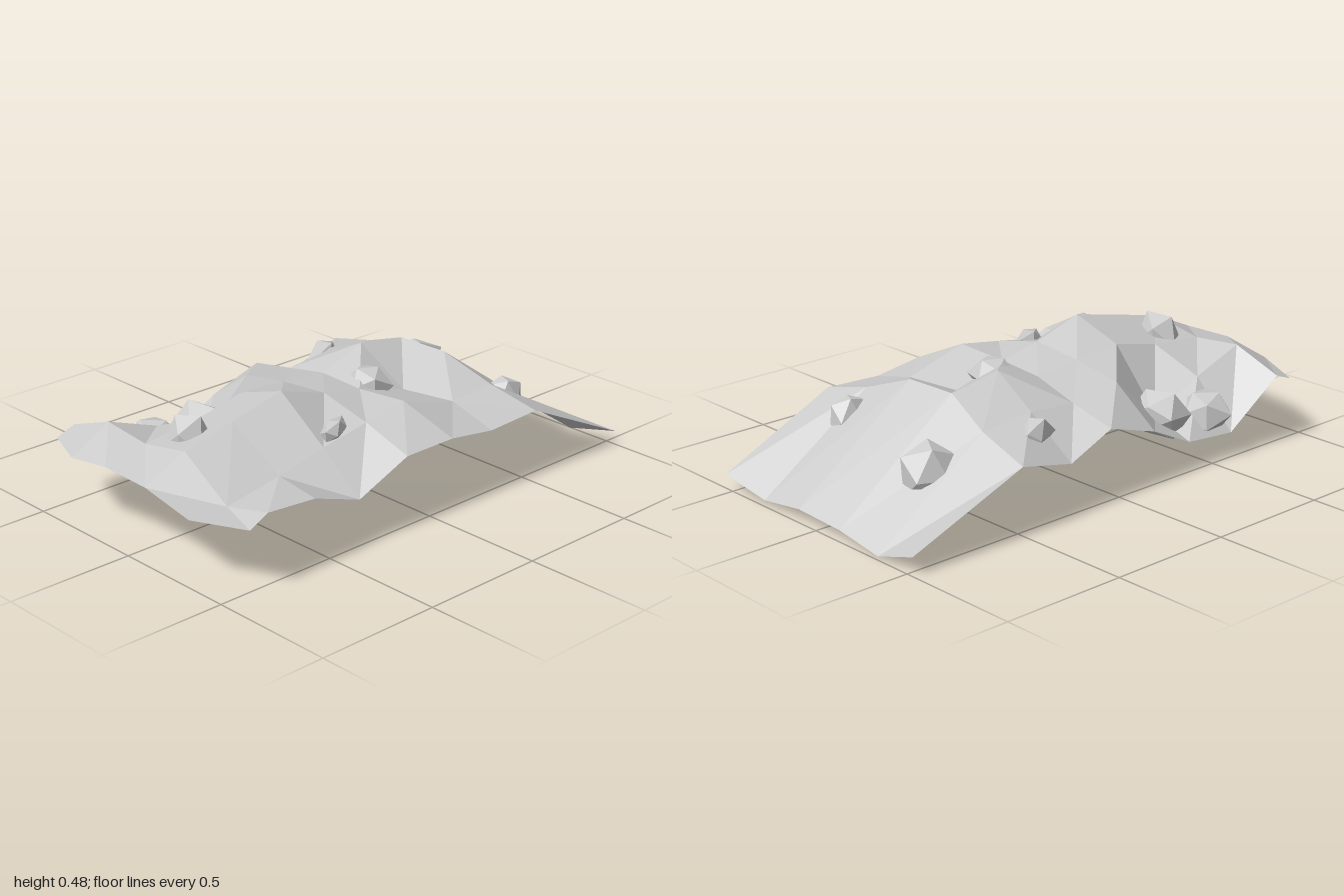
import * as THREE from 'three';

const material = new THREE.MeshStandardMaterial({ color: 0xcccccc, flatShading: true, side: THREE.DoubleSide });

// Rows from the front edge to the back edge: z, height at each column, x of the two side edges,
// and the cells (towards the front) whose crease runs from front left to back right.
const columns = [-0.32, -0.11, 0.11, 0.33];
const rows = [
  { z: [0.9, 0.99, 1, 1, 0.99, 0.9], y: [0.255, 0.27, 0.305, 0.3, 0.25, 0.255], sides: [-0.53, 0.54], flip: [] },
  { z: 0.82, y: [0.285, 0.36, 0.34, 0.38, 0.245, 0.295], sides: [-0.53, 0.54], flip: [4] },
  { z: [0.6, 0.6, 0.58, 0.6, 0.58, 0.6], y: [0.1, 0.28, 0.365, 0.43, 0.285, 0.275], sides: [-0.5, 0.535], flip: [] },
  { z: 0.37, y: [0.12, 0.18, 0.41, 0.48, 0.33, 0.19], sides: [-0.5, 0.515], flip: [5] },
  { z: 0.16, y: [0.22, 0.36, 0.395, 0.415, 0.365, 0.3], sides: [-0.52, 0.54], flip: [] },
  { z: [-0.07, -0.06, -0.04, -0.02, -0.03, -0.07], y: [0.29, 0.33, 0.375, 0.38, 0.395, 0.3], sides: [-0.525, 0.54], flip: [] },
  { z: [-0.27, -0.27, -0.24, -0.25, -0.29, -0.28], y: [0.21, 0.35, 0.445, 0.315, 0.32, 0.27], sides: [-0.53, 0.54], flip: [2] },
  { z: [-0.52, -0.5, -0.46, -0.47, -0.5, -0.52], y: [0.27, 0.33, 0.41, 0.41, 0.33, 0.28], sides: [-0.55, 0.54], flip: [5] },
  { z: [-1, -0.98, -0.98, -0.99, -0.98, -1], y: [0.07, 0, 0.03, 0.045, 0.01, 0.055], sides: [-0.53, 0.54], flip: [1, 2, 3, 4, 5] },
];

// Open faceted sheet, two triangles per cell
function terrainGeometry() {
  const positions = [];
  const index = [];
  const n = columns.length + 2;
  rows.forEach((row, r) => {
    [row.sides[0], ...columns, row.sides[1]].forEach((x, c) => {
      positions.push(x, row.y[c], Array.isArray(row.z) ? row.z[c] : row.z);
      if (r === 0 || c === 0) return;
      const d = r * n + c;
      const [a, b, e] = [d - n - 1, d - n, d - 1];
      if (row.flip.includes(c)) index.push(a, b, d, a, d, e);
      else index.push(a, b, e, b, d, e);
    });
  });
  const geometry = new THREE.BufferGeometry();
  geometry.setAttribute('position', new THREE.Float32BufferAttribute(positions, 3));
  geometry.setIndex(index);
  const flat = geometry.toNonIndexed();
  flat.computeVertexNormals();
  return flat;
}

// Irregular stone: every corner is moved in or out by a rule of its direction
function rockGeometry(seed) {
  const geometry = new THREE.IcosahedronGeometry(1, 0);
  const p = geometry.attributes.position;
  const v = new THREE.Vector3();
  for (let i = 0; i < p.count; i++) {
    v.fromBufferAttribute(p, i);
    v.multiplyScalar(1.06 + 0.13 * Math.sin(5 * v.x + 7 * v.y + 3 * v.z + seed * 2.1));
    p.setXYZ(i, v.x, v.y, v.z);
  }
  geometry.computeVertexNormals();
  return geometry;
}

// Stones: centre, half sizes, turn about y
const rocks = [
  [[-0.02, 0.325, 0.7], [0.09, 0.125, 0.08], 0.4],
  [[-0.42, 0.185, 0.54], [0.1, 0.085, 0.095], 0.8],
  [[-0.355, 0.2, 0.355], [0.105, 0.09, 0.095], 0.2],
  [[0.285, 0.355, 0.28], [0.04, 0.04, 0.085], 0.45],
  [[0.05, 0.36, -0.12], [0.085, 0.075, 0.09], 1.1],
  [[-0.39, 0.29, -0.31], [0.05, 0.065, 0.11], 0.5],
  [[-0.24, 0.19, -0.675], [0.075, 0.125, 0.105], -0.5],
  [[0.31, 0.24, -0.6], [0.06, 0.1, 0.075], -0.4],
];

export function createModel() {
  const group = new THREE.Group();
  group.name = 'rockyGround';

  const ground = new THREE.Mesh(terrainGeometry(), material);
  ground.name = 'groundSheet';
  group.add(ground);

  rocks.forEach(([centre, size, turn], i) => {
    const rock = new THREE.Mesh(rockGeometry(i), material);
    rock.name = `rock${i + 1}`;
    rock.position.set(...centre);
    rock.scale.set(...size);
    rock.rotation.y = turn;
    group.add(rock);
  });
  return group;
}
